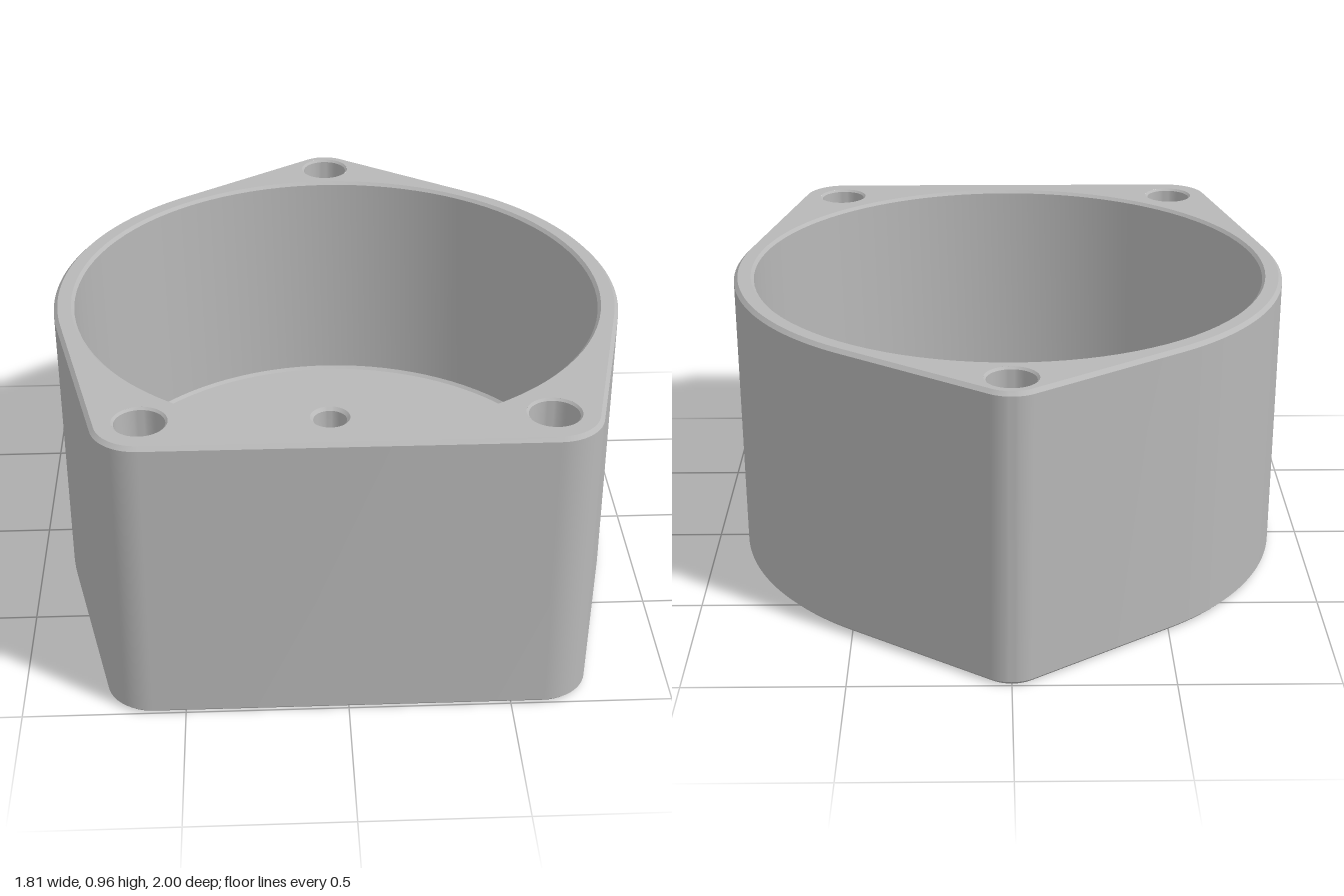
import * as THREE from 'three';
import { toCreasedNormals } from 'three/addons/utils/BufferGeometryUtils.js';

const H = 0.96, FLOOR = 0.19, CH = 0.012;
const BOWL_Z = 0.075, BOWL_R = 0.84;
const screwSpots = [[0, -0.885], [-0.6, 0.855], [0.6, 0.855]];
const drainSpots = [[0, -0.405], [-0.415, 0.315], [0.415, 0.315]];

// Outline: taut band around the bowl, the rear lug and the two front lugs.
// Plan coordinates are (x, -z), counter-clockwise.
function outline(inset) {
  const big = [0, -BOWL_Z, 0.905], apex = [0, 0.885, 0.115];
  const right = [0.6, -0.855, 0.145], left = [-0.6, -0.855, 0.145];
  const tangent = (c) => Math.acos((big[2] - c[2]) / Math.hypot(c[0] - big[0], c[1] - big[1]));
  const a = Math.PI / 2 - tangent(apex);
  const b = Math.atan2(right[1] - big[1], right[0]) + tangent(right);
  const arcs = [
    [right, -Math.PI / 2, b, 14], [big, b, a, 36], [apex, a, Math.PI - a, 14],
    [big, Math.PI - a, Math.PI - b, 36], [left, Math.PI - b, Math.PI * 1.5, 14],
  ];
  const pts = [];
  for (const [[cx, cy, r], from, to, n] of arcs) {
    for (let i = 0; i <= n; i++) {
      const t = from + (to - from) * i / n;
      // neighbouring arcs start on a new circle, so straight flanks join them
      pts.push(new THREE.Vector2(cx + (r - inset) * Math.cos(t), cy + (r - inset) * Math.sin(t)));
    }
  }
  return pts;
}

// Outer wall lofted through [inset, height] rings
function wallGeometry(rings) {
  const pos = [], index = [];
  let n = 0;
  for (const [inset, y] of rings) {
    const pts = outline(inset);
    n = pts.length;
    for (const p of pts) pos.push(p.x, y, -p.y);
  }
  for (let r = 0; r < rings.length - 1; r++) {
    for (let i = 0; i < n; i++) {
      const j = (i + 1) % n, lo = r * n, hi = lo + n;
      index.push(lo + i, lo + j, hi + j, lo + i, hi + j, hi + i);
    }
  }
  const g = new THREE.BufferGeometry();
  g.setAttribute('position', new THREE.Float32BufferAttribute(pos, 3));
  g.setIndex(index);
  return toCreasedNormals(g, 0.5);
}

// Flat horizontal plate with round holes given as [x, z, radius]
function plateGeometry(points, holes, y, down = false) {
  const shape = new THREE.Shape(points);
  for (const [x, z, r] of holes) {
    shape.holes.push(new THREE.Path().absarc(x, -z, r, 0, Math.PI * 2, true));
  }
  const g = new THREE.ShapeGeometry(shape, 48);
  g.rotateX(-Math.PI / 2).translate(0, y, 0);
  if (down) {
    g.setIndex(Array.from(g.index.array).reverse());
    g.computeVertexNormals();
  }
  return g;
}

const circle = (x, z, r, n) => Array.from({ length: n }, (_, i) => {
  const t = i / n * Math.PI * 2;
  return new THREE.Vector2(x + r * Math.cos(t), -z + r * Math.sin(t));
});

// Inward-facing round surface; profile runs from top to bottom
function bore(profile, segments) {
  const pts = profile.map(([r, y]) => new THREE.Vector2(r, y));
  return toCreasedNormals(new THREE.LatheGeometry(pts, segments), 0.5);
}

export function createModel() {
  const model = new THREE.Group();
  model.name = 'housing';
  const grey = new THREE.MeshStandardMaterial({ color: 0xb8b8b8 });
  grey.name = 'plain grey';
  const add = (name, geometry, x = 0, z = 0) => {
    const mesh = new THREE.Mesh(geometry, grey);
    mesh.name = name;
    mesh.position.set(x, 0, z);
    model.add(mesh);
  };
  const ringed = (spots, r) => spots.map(([x, z]) => [x, z, r]);

  // Body with chamfered top and bottom edges
  add('outerWall', wallGeometry([[CH, 0], [0, CH], [0, H - CH], [CH, H]]));
  add('topRim', plateGeometry(outline(CH), [[0, BOWL_Z, BOWL_R + 0.01], ...ringed(screwSpots, 0.082)], H));
  add('underside', plateGeometry(outline(CH), ringed(drainSpots, 0.046), 0, true));

  // Round cavity and its floor
  add('cavityWall', bore([
    [BOWL_R + 0.01, H], [BOWL_R, H - 0.01], [BOWL_R, FLOOR + 0.01], [BOWL_R - 0.01, FLOOR],
  ], 96), 0, BOWL_Z);
  add('cavityFloor', plateGeometry(circle(0, BOWL_Z, BOWL_R - 0.01, 96), ringed(drainSpots, 0.074), FLOOR));

  // Blind screw holes in the three lugs
  for (const [x, z] of screwSpots) {
    add('screwHole', bore([[0.082, H], [0.075, H - 0.007], [0.075, 0.45], [0, 0.45]], 48), x, z);
  }

  // Counterbored holes through the floor
  for (const [x, z] of drainSpots) {
    add('floorHole', bore([
      [0.074, FLOOR], [0.062, FLOOR - 0.012], [0.062, 0.1], [0.037, 0.1], [0.037, 0.009], [0.046, 0],
    ], 48), x, z);
  }
  return model;
}
